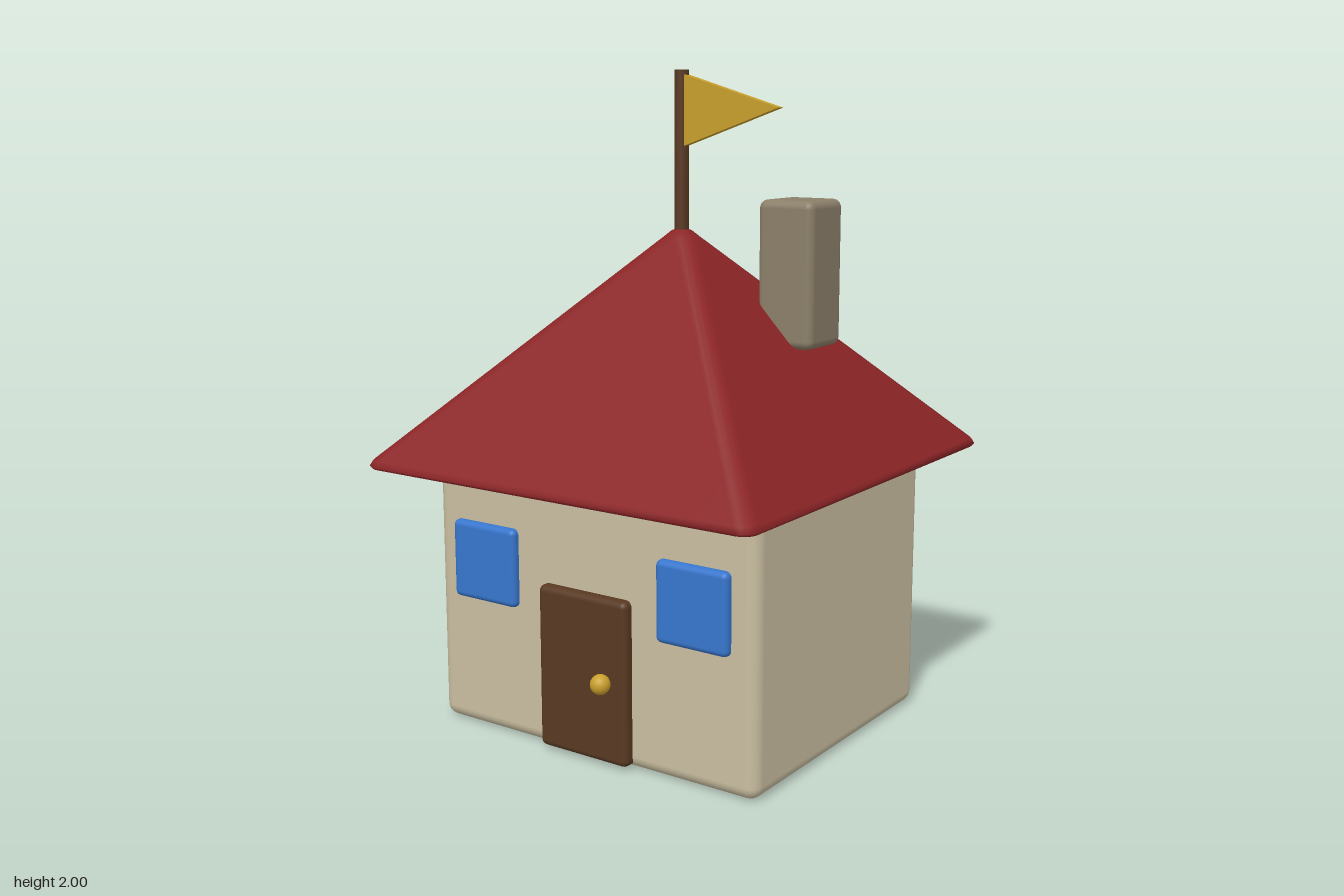
import * as THREE from 'three';
import { RoundedBoxGeometry } from 'three/addons/geometries/RoundedBoxGeometry.js';

const material = (name, color) => {
  const m = new THREE.MeshStandardMaterial({ color });
  m.name = name;
  return m;
};

// Smooth shell of rounded-square rings, listed from bottom to top as [halfWidth, cornerRadius, y]
function squareRings(rings, steps = 4) {
  const positions = [], index = [], count = 4 * (steps + 1);
  for (const [w, r, y] of rings) {
    for (let q = 0; q < 4; q++) {
      const mid = (q + 0.5) * Math.PI / 2;
      const cx = Math.sign(Math.cos(mid)) * (w - r), cz = Math.sign(Math.sin(mid)) * (w - r);
      for (let s = 0; s <= steps; s++) {
        const a = (q + s / steps) * Math.PI / 2;
        positions.push(cx + r * Math.cos(a), y, cz + r * Math.sin(a));
      }
    }
  }
  for (let i = 0; i < rings.length - 1; i++) {
    for (let j = 0; j < count; j++) {
      const a = i * count + j, a1 = i * count + (j + 1) % count;
      index.push(a, a + count, a1, a1, a + count, a1 + count);
    }
  }
  const g = new THREE.BufferGeometry();
  g.setAttribute('position', new THREE.Float32BufferAttribute(positions, 3));
  g.setIndex(index);
  g.computeVertexNormals(); // area weighting keeps the large slopes flat
  return g;
}

export function createModel() {
  const house = new THREE.Group();
  house.name = 'house';
  const plaster = material('cream plaster', 0xc9bea0);
  const tiles = material('red roof', 0x8a2426);
  const stone = material('grey brown stone', 0x8b7f69);
  const wood = material('dark wood', 0x583922);
  const glass = material('blue glass', 0x3776cd);
  const gold = material('gold', 0xc99f2c);

  const add = (name, geometry, mat, x = 0, y = 0, z = 0) => {
    const mesh = new THREE.Mesh(geometry, mat);
    mesh.name = name;
    mesh.position.set(x, y, z);
    house.add(mesh);
    return mesh;
  };
  // Rounded box given by its lower and upper corners
  const block = (name, mat, lo, hi, radius) => {
    const size = hi.map((v, i) => v - lo[i]), mid = hi.map((v, i) => (v + lo[i]) / 2);
    return add(name, new RoundedBoxGeometry(...size, 3, radius), mat, ...mid);
  };

  // Walls
  block('walls', plaster, [-0.58, 0.005, -0.48], [0.58, 0.85, 0.48], 0.04);

  // Pyramid roof with softened eaves, ridges and peak
  add('roof', squareRings([
    [0, 0, 0.822], [0.655, 0.03, 0.822], [0.677, 0.04, 0.826], [0.685, 0.045, 0.835],
    [0.677, 0.045, 0.852], [0.05, 0.04, 1.507], [0.03, 0.027, 1.525], [0, 0, 1.536],
  ]), tiles);

  // Chimney
  block('chimney', stone, [0.226, 1.182, -0.256], [0.414, 1.622, -0.066], 0.025);

  // Door and knob
  block('door', wood, [-0.161, 0.015, 0.45], [0.161, 0.514, 0.512], 0.02);
  add('doorKnob', new THREE.SphereGeometry(0.03, 20, 14), gold, 0.086, 0.265, 0.532);

  // Mirrored windows
  for (const [name, x] of [['leftWindow', 0.378], ['rightWindow', -0.378]]) {
    block(name, glass, [x - 0.121, 0.417, 0.45], [x + 0.121, 0.659, 0.505], 0.018);
  }

  // Flagpole and pennant
  add('flagpole', new THREE.CylinderGeometry(0.022, 0.022, 0.55, 16), wood, 0, 1.725, 0);
  const pennant = new THREE.Shape([
    new THREE.Vector2(0.01, 1.775), new THREE.Vector2(0.345, 1.89), new THREE.Vector2(0.01, 1.988),
  ]);
  add('flag', new THREE.ExtrudeGeometry(pennant, { depth: 0.026, bevelEnabled: false }), gold, 0, 0, -0.013);

  return house;
}
